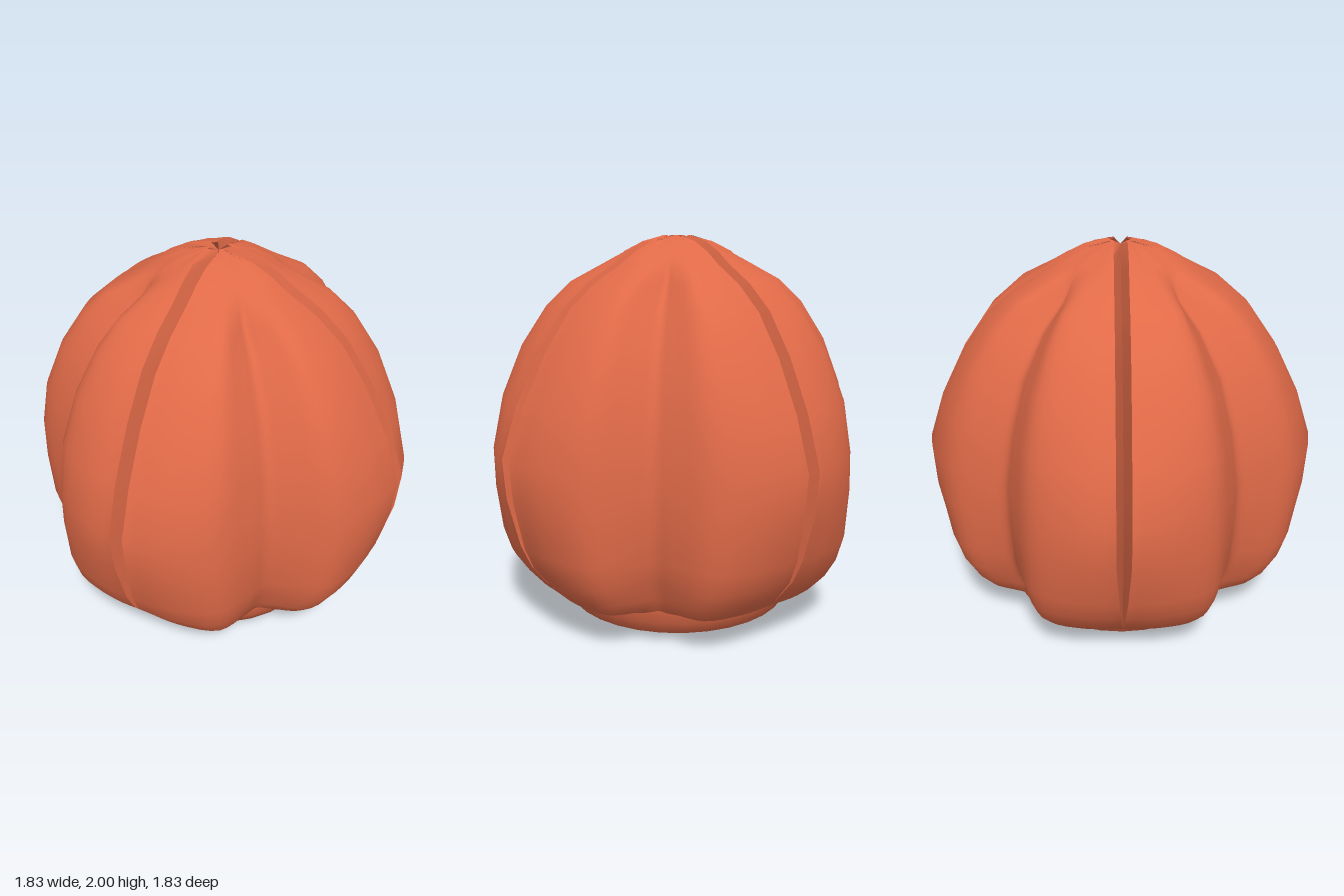
import * as THREE from 'three';
import { toCreasedNormals } from 'three/addons/utils/BufferGeometryUtils.js';

// Petal cross-sections: [height, depth at middle groove, depth at lobe, half-width at corner]
const ROWS = [
  [0.15, 0.56, 0.54, 0.40],
  [0.18, 0.64, 0.66, 0.48],
  [0.21, 0.67, 0.76, 0.54],
  [0.28, 0.70, 0.82, 0.58],
  [0.38, 0.75, 0.87, 0.63],
  [0.50, 0.79, 0.90, 0.66],
  [0.75, 0.81, 0.915, 0.69],
  [0.95, 0.81, 0.91, 0.70],
  [1.20, 0.76, 0.87, 0.64],
  [1.45, 0.67, 0.775, 0.55],
  [1.65, 0.53, 0.65, 0.45],
  [1.77, 0.39, 0.53, 0.35],
  [1.86, 0.34, 0.37, 0.24],
  [1.92, 0.28, 0.26, 0.18],
  [1.97, 0.18, 0.17, 0.11],
  [2.00, 0.05, 0.045, 0.02],
];

// One row of points from the left edge to the right edge, with folded-in edges
function crossSection([y, groove, lobe, c]) {
  const gap = 0.025 * THREE.MathUtils.smoothstep(y, 0.15, 0.8);
  const edgeZ = c + 2 * gap;
  const midZ = (lobe + edgeZ) / 2 + 0.03 * c;
  const half = [[c, edgeZ], [c * 0.76, midZ], [c * 0.43, lobe], [c * 0.14, groove + (lobe - groove) * 0.35]];
  const pts = [
    ...half.map(([x, z]) => new THREE.Vector3(-x, y, z)),
    new THREE.Vector3(0, y, groove),
    ...half.slice().reverse().map(([x, z]) => new THREE.Vector3(x, y, z)),
  ];
  const f = Math.max(c - 0.1, 0);
  return [
    new THREE.Vector3(-f, y - 0.02, f),
    ...new THREE.CatmullRomCurve3(pts).getPoints(32),
    new THREE.Vector3(f, y - 0.02, f),
  ];
}

function petalGeometry() {
  const rows = ROWS.map(crossSection);
  const n = rows[0].length;
  const index = [];
  for (let j = 0; j < rows.length - 1; j++) {
    for (let i = 0; i < n - 1; i++) {
      const a = j * n + i, b = a + 1, d = a + n, e = d + 1;
      index.push(a, b, e, a, e, d);
    }
  }
  const geo = new THREE.BufferGeometry().setFromPoints(rows.flat());
  geo.setIndex(index);
  return toCreasedNormals(geo, 0.9);
}

export function createModel() {
  const group = new THREE.Group();
  group.name = 'closedBud';
  const material = new THREE.MeshStandardMaterial({ color: 0xe06a48, side: THREE.DoubleSide });

  // Four two-lobed petals that meet along the diagonals
  const geo = petalGeometry();
  ['frontPetal', 'leftPetal', 'backPetal', 'rightPetal'].forEach((name, k) => {
    const petal = new THREE.Mesh(geo, material);
    petal.name = name;
    petal.rotation.y = k * Math.PI / 2;
    group.add(petal);
  });

  // Shallow rounded base under the petals
  const profile = [[0, 0], [0.25, 0.01], [0.5, 0.035], [0.6, 0.055], [0.635, 0.12], [0.66, 0.19], [0.67, 0.27], [0.6, 0.36]]
    .map(([r, y]) => new THREE.Vector2(r, y));
  const base = new THREE.Mesh(new THREE.LatheGeometry(profile, 32), material);
  base.name = 'base';
  group.add(base);

  return group;
}
